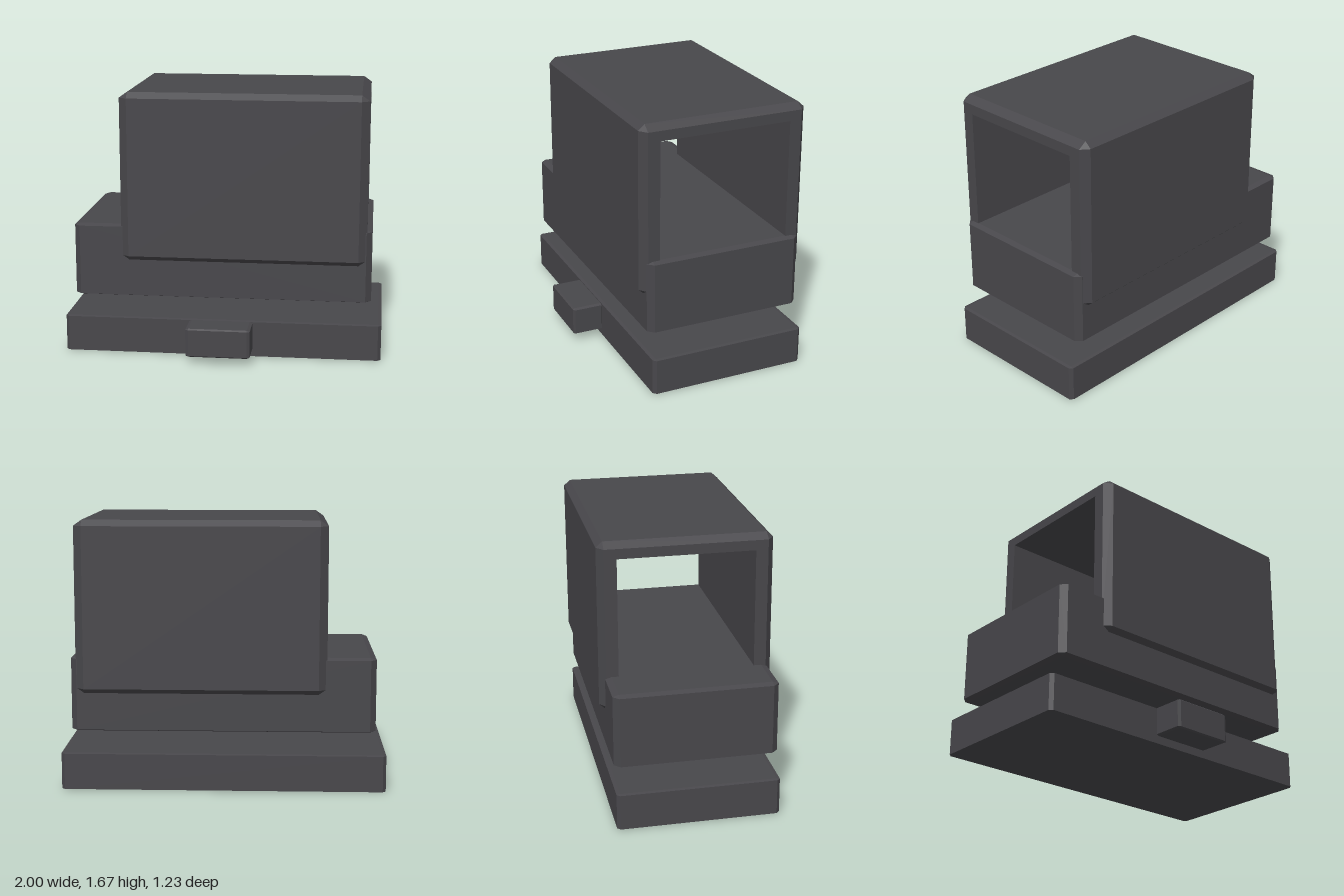
import * as THREE from 'three';
import { ConvexGeometry } from 'three/addons/geometries/ConvexGeometry.js';

const charcoal = new THREE.MeshStandardMaterial({ color: 0x48474b });
charcoal.name = 'charcoal';

// Box with chamfered edges; min, max and bevel are [x, y, z]
function chamferBox(name, min, max, bevel) {
  const points = [];
  for (const sx of [0, 1]) for (const sy of [0, 1]) for (const sz of [0, 1]) {
    const side = [sx, sy, sz];
    for (let face = 0; face < 3; face++) {
      const p = side.map((s, i) => {
        const inset = i === face ? 0 : bevel[i];
        return s ? max[i] - inset : min[i] + inset;
      });
      points.push(new THREE.Vector3(...p));
    }
  }
  const mesh = new THREE.Mesh(new ConvexGeometry(points), charcoal);
  mesh.name = name;
  return mesh;
}

// Eight [z, y] points: a rectangle with each corner cut by dz, dy
function cutRect(z0, z1, y0, y1, dz = 0, dy = 0) {
  return [
    [z0 + dz, y0], [z1 - dz, y0], [z1, y0 + dy], [z1, y1 - dy],
    [z1 - dz, y1], [z0 + dz, y1], [z0, y1 - dy], [z0, y0 + dy],
  ];
}

// Chamfered box with a rectangular tunnel along x
function tunnelBox(name, min, max, bevel, hole) {
  const [bx, by, bz] = bevel;
  const inner = cutRect(hole.z0, hole.z1, hole.y0, hole.y1);
  const end = cutRect(min[2] + bz, max[2] - bz, min[1] + by, max[1] - by);
  const full = cutRect(min[2], max[2], min[1], max[1], bz, by);
  const loops = [
    [min[0], inner], [min[0], end], [min[0] + bx, full],
    [max[0] - bx, full], [max[0], end], [max[0], inner],
  ].map(([x, ring]) => ring.map(([z, y]) => new THREE.Vector3(x, y, z)));

  const pos = [];
  const triangle = (a, b, c) => {
    if (a.equals(b) || b.equals(c) || a.equals(c)) return;
    for (const p of [a, b, c]) pos.push(p.x, p.y, p.z);
  };
  loops.forEach((a, i) => {
    const b = loops[(i + 1) % loops.length];
    for (let j = 0; j < 8; j++) {
      const k = (j + 1) % 8;
      triangle(a[j], b[j], b[k]);
      triangle(a[j], b[k], a[k]);
    }
  });
  const geometry = new THREE.BufferGeometry();
  geometry.setAttribute('position', new THREE.Float32BufferAttribute(pos, 3));
  geometry.computeVertexNormals();
  const mesh = new THREE.Mesh(geometry, charcoal);
  mesh.name = name;
  return mesh;
}

export function createModel() {
  const model = new THREE.Group();
  model.name = 'hoodedBlock';
  model.add(
    // Floating base slab with a small block on its front
    chamferBox('baseSlab', [-1, 0, -0.582], [1, 0.232, 0.418], [0.02, 0.004, 0.02]),
    chamferBox('frontBlock', [-0.203, 0.05, 0.415], [0.197, 0.232, 0.615], [0.018, 0.008, 0.01]),
    // Body above the gap
    chamferBox('body', [-0.932, 0.37, -0.582], [0.932, 0.834, 0.418], [0.036, 0.012, 0.037]),
    // Hood open at both ends, its floor sunk in the body
    tunnelBox('hood', [-0.632, 0.605, -0.615], [0.9, 1.668, 0.45], [0.051, 0.036, 0.04],
      { z0: -0.5, z1: 0.335, y0: 0.71, y1: 1.57 }),
  );
  return model;
}
